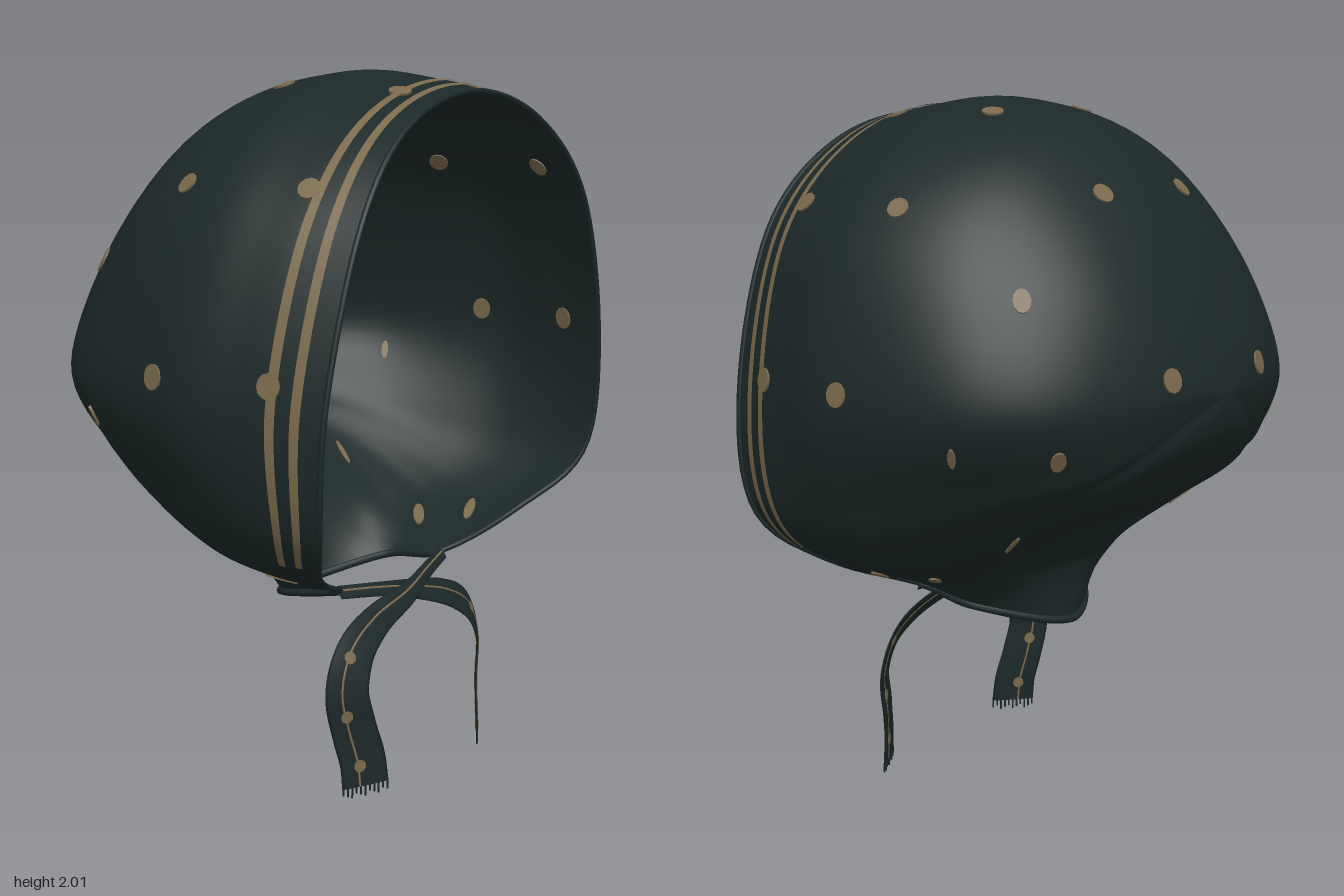
import * as THREE from 'three';
import { mergeVertices } from 'three/addons/utils/BufferGeometryUtils.js';

const V3 = (x, y, z) => new THREE.Vector3(x, y, z);
const { lerp, smoothstep } = THREE.MathUtils;

// Half-bonnet ribs, each running from the back pole (shared) to the open edge.
const POLE = [0, 1.2, -0.59];
const RIBS = [
  [[0, 1.61, -0.435], [0, 1.91, -0.155], [0, 2.0, 0.15], [0, 1.985, 0.38], [0, 1.95, 0.55]],
  [[0.22, 1.555, -0.44], [0.36, 1.81, -0.16], [0.4, 1.905, 0.15], [0.385, 1.885, 0.38], [0.34, 1.865, 0.56]],
  [[0.37, 1.42, -0.46], [0.6, 1.565, -0.18], [0.695, 1.63, 0.14], [0.66, 1.62, 0.38], [0.58, 1.63, 0.58]],
  [[0.45, 1.2, -0.485], [0.71, 1.2, -0.25], [0.82, 1.2, 0.13], [0.78, 1.2, 0.36], [0.715, 1.2, 0.57]],
  [[0.4, 1.04, -0.455], [0.62, 0.97, -0.2], [0.72, 0.89, 0.13], [0.73, 0.86, 0.36], [0.7, 0.85, 0.54]],
  [[0.35, 1.0, -0.445], [0.55, 0.88, -0.18], [0.61, 0.76, 0.1], [0.58, 0.7, 0.3], [0.525, 0.685, 0.42]],
  [[0.29, 0.98, -0.455], [0.46, 0.82, -0.18], [0.45, 0.69, 0.04], [0.35, 0.62, 0.19], [0.27, 0.58, 0.3]],
  [[0.185, 0.97, -0.465], [0.3, 0.81, -0.22], [0.295, 0.69, -0.05], [0.27, 0.61, 0.025], [0.25, 0.54, 0.1]],
  [[0, 0.96, -0.47], [0, 0.82, -0.275], [0, 0.7, -0.125], [0, 0.62, -0.078], [0, 0.475, -0.06]],
];
const N = 16; // ribs all the way round, after mirroring
const RINGS = [0, 1, 2, 3, 4].map((k) => {
  const pts = [];
  for (let i = 0; i < N; i++) {
    const [x, y, z] = RIBS[i <= 8 ? i : N - i][k];
    pts.push(V3(i <= 8 ? x : -x, y, z));
  }
  return new THREE.CatmullRomCurve3(pts, true, 'catmullrom', 0.5);
});
const wrap = (u) => (((u % N) + N) % N) / N;

// Point on the cloth: u = rib number around, v = 0 at the back pole, 1 at the open edge
function surf(u, v) {
  const pts = [RINGS[0].getPoint(wrap(u + 8)), V3(...POLE), ...RINGS.map((r) => r.getPoint(wrap(u)))];
  const p = new THREE.CatmullRomCurve3(pts, false, 'catmullrom', 0.5).getPoint((1 + v * 5) / 6);
  // soft gathers towards the neck
  const a = Math.abs(wrap(u + 8) * N - 8);
  const w = smoothstep(a, 5, 6) * smoothstep(v, 0.35, 0.75) * smoothstep(1 - v, 0, 0.2);
  const fold = 1 + 0.018 * w * Math.sin(a * 9);
  return V3(p.x * fold, p.y, p.z);
}
// Outward normal of the cloth
function normalAt(u, v) {
  const e = 0.02;
  const du = surf(u + e, v).sub(surf(u - e, v));
  const dv = surf(u, Math.min(1, v + e)).sub(surf(u, v - e));
  const n = du.cross(dv).normalize();
  return n.dot(surf(u, v).sub(V3(0, 1.15, 0.1))) < 0 ? n.negate() : n;
}

// Smooth grid of points f(i, j), both 0..1
function grid(f, nu, nv) {
  const pos = [], idx = [];
  for (let i = 0; i <= nu; i++) for (let j = 0; j <= nv; j++) pos.push(...f(i / nu, j / nv).toArray());
  for (let i = 0; i < nu; i++) for (let j = 0; j < nv; j++) {
    const a = i * (nv + 1) + j, b = a + nv + 1;
    idx.push(a, b, a + 1, b, b + 1, a + 1);
  }
  let g = new THREE.BufferGeometry();
  g.setAttribute('position', new THREE.Float32BufferAttribute(pos, 3));
  g.setIndex(idx);
  g = mergeVertices(g, 1e-5);
  g.computeVertexNormals();
  return g;
}

// Centre, width direction and normal of a strap whose width leans in z by tilt
function strapFrame(curve, t, tilt) {
  const c = curve.getPoint(t), tan = curve.getTangent(t);
  const side = V3(-tan.y, tan.x, tilt).normalize();
  return { c, side, nrm: tan.cross(side).normalize() };
}
// Flat ribbon along a curve, width(t), shifted sideways by shift(t)
function ribbon(curve, tilt, width, thick, shift = () => 0) {
  return grid((t, s) => {
    const { c, side, nrm } = strapFrame(curve, t, tilt);
    const a = s * Math.PI * 2;
    return c.addScaledVector(side, shift(t) + (width(t) / 2) * Math.cos(a))
      .addScaledVector(nrm, thick * Math.sin(a));
  }, 48, 12);
}

export function createModel() {
  const group = new THREE.Group();
  const cloth = new THREE.MeshStandardMaterial({ color: 0x1c2828, side: THREE.DoubleSide });
  cloth.name = 'dark green cloth';
  const tan = new THREE.MeshStandardMaterial({ color: 0x7a694c, side: THREE.DoubleSide });
  tan.name = 'tan print';
  const add = (name, geo, mat, parent = group) => {
    const m = new THREE.Mesh(geo, mat);
    m.name = name;
    parent.add(m);
    return m;
  };

  // Hood
  add('hood', grid((i, j) => surf(i * N, j), 128, 40), cloth);

  // Hems on the face opening and the neck
  const hem = (name, u0, u1, r) => {
    const pts = [];
    for (let i = 0; i <= 48; i++) pts.push(surf(u0 + ((u1 - u0) * i) / 48, 1));
    add(name, new THREE.TubeGeometry(new THREE.CatmullRomCurve3(pts), 96, r, 8), cloth);
  };
  hem('faceHem', -6, 6, 0.008);
  hem('neckHem', 6, 10, 0.012);

  // Two printed stripes following the face opening
  for (const [v0, v1] of [[0.858, 0.882], [0.919, 0.943]]) {
    add('rimStripe', grid((i, j) => {
      const u = -4.5 + 9 * i, v = v0 + (v1 - v0) * j;
      return surf(u, v).addScaledVector(normalAt(u, v), 0.005);
    }, 110, 2), tan);
  }

  // Printed dots, visible on both faces of the cloth: position, then width and height factors
  const table = [];
  for (let i = 0; i <= 80; i++) for (let j = 1; j <= 50; j++) {
    const u = i / 10, v = j / 50;
    table.push({ u, v, p: surf(u, v) });
  }
  const DOTS = [
    [0.2, 1.98, 0.05, 1, 1], [0.62, 1.74, 0.05, 0.95, 1], [0.21, 1.77, -0.33, 1, 1],
    [0.56, 1.49, -0.31, 0.8, 1.1], [0.21, 1.27, -0.57, 1, 1.1], [0.49, 1.09, -0.37, 0.7, 1],
    [0.72, 1.08, -0.2, 0.35, 1], [0.82, 1.23, 0.1, 0.95, 1.1],
    [0.19, 1.96, 0.43, 1, 1], [0.57, 1.73, 0.43, 1, 1], [0.77, 1.23, 0.44, 1, 1.1],
    [0.39, 0.64, 0.13, 0.55, 1.8], [0.49, 0.66, 0.26, 0.5, 1.8], [0.43, 0.77, -0.19, 0.25, 1.6],
  ];
  const dotGeo = new THREE.CylinderGeometry(0.031, 0.031, 0.0098, 12);
  for (const [x, y, z, wide, tall] of DOTS) {
    const target = V3(x, y, z);
    let best = table[0];
    for (const s of table) if (s.p.distanceTo(target) < best.p.distanceTo(target)) best = s;
    for (const side of [1, -1]) {
      const n = normalAt(best.u * side, best.v);
      const across = n.clone().cross(V3(0, 1, 0)).normalize();
      const m = add('dot', dotGeo, tan);
      m.position.copy(surf(best.u * side, best.v));
      m.quaternion.setFromRotationMatrix(
        new THREE.Matrix4().makeBasis(across, n, across.clone().cross(n)));
      m.scale.set(wide, 1, tall);
    }
  }

  // Ties crossing under the chin, with print and fringe
  const tie = (name, side, drop, dz) => {
    const g = new THREE.Group();
    g.name = name;
    group.add(g);
    const path = [[-0.27, 0.575, 0.3], [-0.12, 0.56, 0.34], [0.03, 0.53, 0.36 + dz], [0.19, 0.485, 0.37],
      [0.3, 0.42, 0.375], [0.345, 0.32, 0.38], [0.325, 0.21, 0.39], [0.305, 0.12, 0.405], [0.3, 0.045, 0.412]];
    const curve = new THREE.CatmullRomCurve3(
      path.map(([x, y, z], i) => V3(x * side, y - (drop * i) / 8, z)));
    const tilt = -0.6 * side;
    const width = (t) => lerp(0.04, 0.115, smoothstep(t, 0.1, 0.6)) + 0.027 * t;
    add('strap', ribbon(curve, tilt, width, 0.0035), cloth, g);
    add('strapStripe', ribbon(curve, tilt, () => 0.009, 0.0049, (t) => side * 0.12 * width(t)), tan, g);
    for (const t of [0.52, 0.7, 0.9]) {
      const f = strapFrame(curve, t, tilt);
      const m = add('strapDot', new THREE.CylinderGeometry(0.018, 0.018, 0.0098, 10), tan, g);
      m.quaternion.setFromUnitVectors(V3(0, 1, 0), f.nrm);
      m.position.copy(f.c).addScaledVector(f.side, side * 0.012);
    }
    const end = strapFrame(curve, 1, tilt);
    for (let i = 0; i < 11; i++) {
      const h = 0.022 + 0.006 * (i % 3);
      const m = add('fringe', new THREE.BoxGeometry(0.004, h, 0.004), cloth, g);
      m.position.copy(end.c).addScaledVector(end.side, (i - 5) * 0.0135);
      m.position.y += 0.004 - h / 2;
    }
  };
  tie('rightTie', -1, 0, 0.012);
  tie('leftTie', 1, 0.02, -0.008);

  return group;
}
